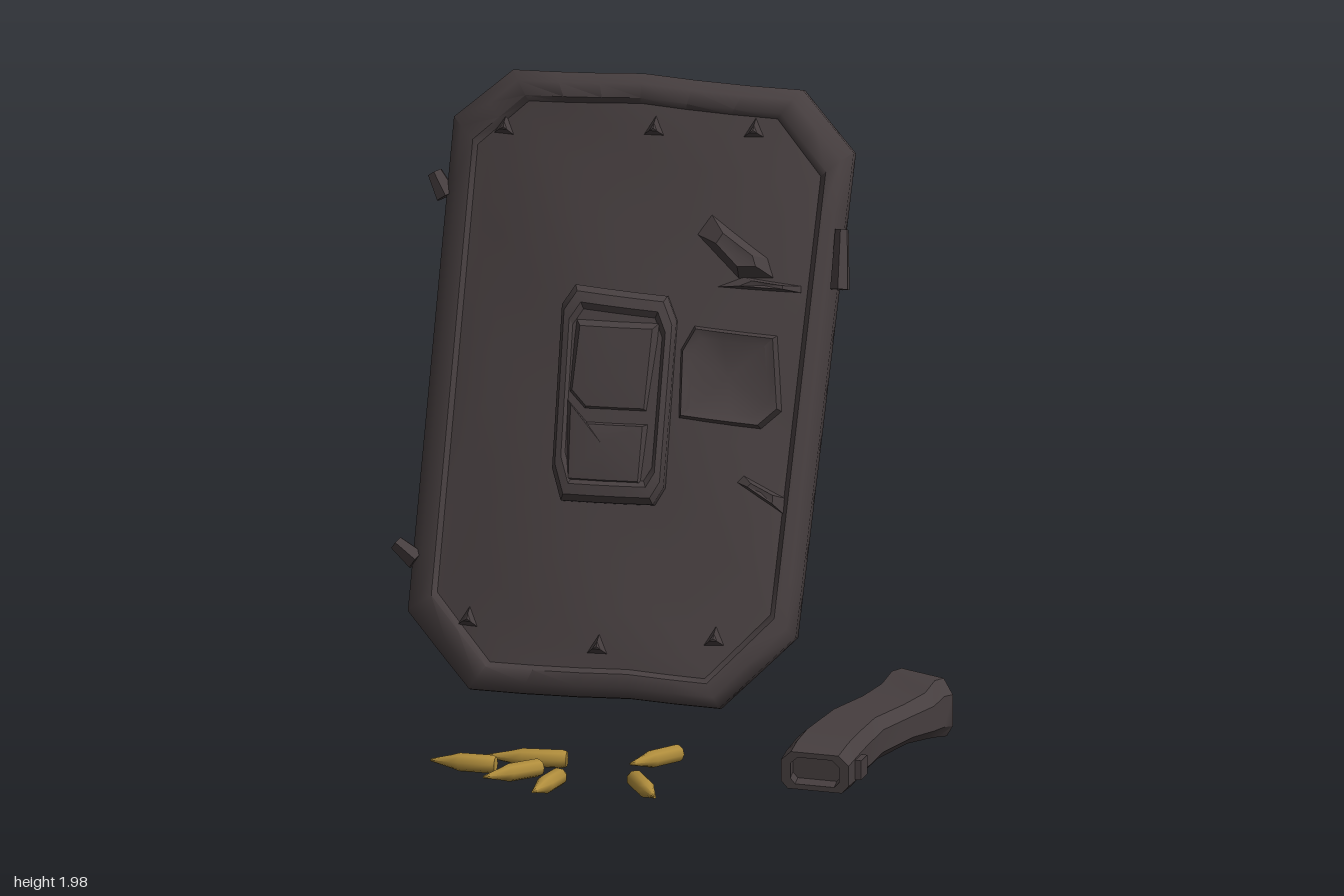
import * as THREE from 'three';
import { toCreasedNormals } from 'three/addons/utils/BufferGeometryUtils.js';

const dark = new THREE.MeshStandardMaterial({ color: 0x463e3f });
dark.name = 'dark metal';
const brass = new THREE.MeshStandardMaterial({ color: 0xb08d3c });
brass.name = 'brass';

// Skin closed rings of equal length, in order
function skin(rings, crease = 0.7) {
  const n = rings[0].length, index = [];
  for (let i = 0; i < rings.length - 1; i++) {
    for (let j = 0; j < n; j++) {
      const a = i * n + j, b = i * n + (j + 1) % n;
      index.push(a, a + n, b + n, a, b + n, b);
    }
  }
  const g = new THREE.BufferGeometry();
  g.setAttribute('position', new THREE.Float32BufferAttribute(rings.flat(2), 3));
  g.setIndex(index);
  return toCreasedNormals(g, crease);
}

// Point on the leaning, bowed shield face, raised by d along its normal
function onFace(x, y, d) {
  const s = (x + 0.2 - (y - 0.2) * 0.062) / 0.6;
  const z = 0.14 - (y - 0.2) * 0.305 - 0.1 * s * s + 0.04 * s;
  return [x, y + 0.29 * d, z + 0.957 * d];
}

// Split the edges of an outline into short steps
function subdivide(corners, step) {
  return corners.flatMap(([x, y], i) => {
    const [u, v] = corners[(i + 1) % corners.length];
    const n = Math.max(1, Math.round(Math.hypot(u - x, v - y) / step));
    return Array.from({ length: n }, (_, k) => [x + (u - x) * k / n, y + (v - y) * k / n]);
  });
}

function add(parent, name, geometry, material = dark) {
  const mesh = new THREE.Mesh(geometry, material);
  mesh.name = name;
  parent.add(mesh);
  return mesh;
}

// Raised patch that follows the shield face; rings are [scale, height]
function patch(parent, name, corners, rings, slope = 0) {
  const pts = subdivide(corners, 0.1);
  const cx = corners.reduce((t, p) => t + p[0], 0) / corners.length;
  const cy = corners.reduce((t, p) => t + p[1], 0) / corners.length;
  return add(parent, name, skin(rings.map(([k, d]) => pts.map(([x, y]) => {
    const py = cy + (y - cy) * k;
    return onFace(cx + (x - cx) * k, py, d + (d > 0 ? slope * (cy - py) : 0));
  })), 0.5));
}

function buildShield() {
  const shield = new THREE.Group();
  shield.name = 'shield';
  const outline = subdivide([[-0.59, 0.21], [-0.1, 0.215], [0.17, 0.19], [0.39, 0.39], [0.515, 1.78],
    [0.36, 1.965], [-0.12, 2.005], [-0.52, 1.985], [-0.7, 1.83], [-0.79, 0.41]], 0.15);
  const [cx, cy] = [-0.14, 1.09];
  const ring = (inset, d, k = 1, dent = 0) => outline.map(([x, y]) => {
    const px = cx + (x - cx) * (1 - inset / 0.6) * k;
    const py = cy + (y - cy) * (1 - inset / 0.9) * k;
    return onFace(px, py, d + dent * Math.sin(9 * px + 2) * Math.sin(7 * py));
  });
  const steps = [0, 0.2, 0.4, 0.6, 0.8, 0.93, 1];
  add(shield, 'frontPanel', skin(steps.map(k => ring(0.085, -0.02, k, k < 1 ? 0.006 : 0))));
  add(shield, 'rim', skin([[0.085, -0.02], [0.07, 0], [0.03, 0], [0, -0.035], [0, -0.1],
    [0.02, -0.125], [0.05, -0.125], [0.065, -0.06]].map(([t, d]) => ring(t, d)), 0.9));
  add(shield, 'backPanel', skin([...steps].reverse().map(k => ring(0.065, -0.06, k, k < 1 ? 0.01 : 0))));

  // Central plate with two raised panes
  patch(shield, 'centrePlate', [[-0.32, 0.77], [-0.04, 0.77], [-0.01, 0.82], [0.01, 1.3], [-0.02, 1.37],
    [-0.3, 1.39], [-0.34, 1.33], [-0.35, 0.86]],
  [[0, 0.035], [0.78, 0.035], [0.84, 0.05], [0.94, 0.045], [1, 0.02], [1, -0.03]], 0.06);
  patch(shield, 'upperPane', [[-0.31, 1.08], [-0.26, 1.03], [-0.06, 1.03], [-0.04, 1.29], [-0.29, 1.29]],
    [[0, 0.05], [0.88, 0.045], [1, 0.025]]);
  patch(shield, 'lowerPane', [[-0.31, 0.82], [-0.07, 0.82], [-0.06, 1.0], [-0.25, 1.0], [-0.31, 1.06]],
    [[0, 0.07], [0.88, 0.06], [1, 0.035]]);
  // Flat side plate
  patch(shield, 'sidePlate', [[0.02, 1.02], [0.27, 0.99], [0.33, 1.04], [0.31, 1.26], [0.06, 1.29], [0.02, 1.22]],
    [[0, -0.005], [0.75, 0], [0.92, 0.012], [1, -0.03]]);
  // Torn ridges
  const ridge = [[0, 0.025], [0.5, 0.03], [1, -0.025]];
  patch(shield, 'upperTear', [[0.06, 1.55], [0.19, 1.42], [0.3, 1.42], [0.28, 1.48], [0.1, 1.61]], ridge);
  patch(shield, 'shortTear', [[0.12, 1.4], [0.38, 1.38], [0.38, 1.4], [0.2, 1.43]], ridge);
  patch(shield, 'lowerTear', [[0.2, 0.84], [0.35, 0.74], [0.35, 0.79], [0.22, 0.86]], ridge);

  // Small bent flaps near the border
  for (const [x, y] of [[-0.54, 1.82], [-0.08, 1.85], [0.22, 1.85], [-0.6, 0.41], [-0.2, 0.36], [0.15, 0.39]]) {
    patch(shield, 'bentFlap', [[x - 0.03, y - 0.02], [x + 0.03, y - 0.02], [x + 0.005, y + 0.035]],
      [[0, 0.02], [0.4, 0.015], [1, -0.02]]);
  }
  // Clips on the edges
  const clip = (name, x, y, z, w, h, d, tilt) => {
    const m = add(shield, name, new THREE.CylinderGeometry(0.35, 0.5, 1, 6).toNonIndexed());
    m.geometry.computeVertexNormals();
    m.scale.set(w, h, d);
    m.position.set(x, y, z);
    m.rotation.set(-0.3, 0, tilt);
  };
  clip('upperSideClip', -0.735, 1.62, -0.49, 0.07, 0.08, 0.08, 0.5);
  clip('lowerSideClip', -0.8, 0.57, -0.15, 0.07, 0.08, 0.09, 0.9);
  clip('sideLatch', 0.49, 1.47, -0.32, 0.06, 0.18, 0.12, 0);
  return shield;
}

// Curved magazine lying on the floor
function buildMagazine() {
  const magazine = new THREE.Group();
  magazine.name = 'magazine';
  // left x, left z, right x, right z, bottom y, top y
  const stations = [[0.385, 0.35, 0.595, 0.4, 0.01, 0.125], [0.395, 0.28, 0.615, 0.31, 0.01, 0.14],
    [0.41, 0.14, 0.63, 0.2, 0.015, 0.14], [0.47, -0.08, 0.66, 0.04, 0.02, 0.145],
    [0.54, -0.24, 0.73, -0.12, 0.025, 0.145], [0.585, -0.33, 0.785, -0.2, 0.02, 0.16],
    [0.61, -0.37, 0.81, -0.24, 0.015, 0.188], [0.635, -0.41, 0.833, -0.27, 0.01, 0.188]];
  const profile = [[0.1, 0], [0.9, 0], [1, 0.2], [1, 0.75], [0.85, 1], [0.15, 1], [0, 0.75], [0, 0.2]];
  const section = ([lx, lz, rx, rz, y0, y1], k = 1, dz = 0) => profile.map(([u, v]) => {
    const a = 0.5 + (u - 0.5) * k, b = 0.5 + (v - 0.5) * k;
    return [lx + (rx - lx) * a, y0 + (y1 - y0) * b, lz + (rz - lz) * a + dz];
  });
  const near = stations[0], far = stations[stations.length - 1];
  add(magazine, 'magazineBody', skin([section(near, 0, -0.07), section(near, 0.72, -0.07), section(near, 0.72),
    ...stations.map(s => section(s)), section(far, 0)], 0.6));
  const lip = add(magazine, 'magazineCatch', new THREE.BoxGeometry(0.035, 0.06, 0.07));
  lip.position.set(0.615, 0.07, 0.31);
  lip.rotation.y = -0.15;
  return magazine;
}

// Loose cartridge from its base to its tip on the floor
function addCartridge(parent, [bx, bz, tx, tz]) {
  const base = new THREE.Vector3(bx, 0.04, bz);
  const dir = new THREE.Vector3(tx, 0.04, tz).sub(base);
  const length = dir.length();
  const profile = [[0, 0], [0.024, 0], [0.028, 0.05], [0.028, 0.55], [0.02, 0.68], [0.004, 1], [0, 1]]
    .map(([r, t]) => new THREE.Vector2(r, t * length));
  const mesh = add(parent, 'cartridge', toCreasedNormals(new THREE.LatheGeometry(profile, 8), 0.9), brass);
  mesh.position.copy(base);
  mesh.quaternion.setFromUnitVectors(new THREE.Vector3(0, 1, 0), dir.normalize());
}

export function createModel() {
  const model = new THREE.Group();
  model.name = 'shieldWithMagazine';
  model.add(buildShield(), buildMagazine());
  const cartridges = new THREE.Group();
  cartridges.name = 'cartridges';
  [[-0.275, 0.21, -0.52, 0.2], [-0.48, 0.295, -0.68, 0.265], [-0.345, 0.31, -0.5, 0.44],
    [-0.275, 0.4, -0.335, 0.59], [-0.05, 0.4, 0.035, 0.61], [0.05, 0.1, -0.08, 0.245]]
    .forEach(c => addCartridge(cartridges, c));
  model.add(cartridges);
  return model;
}
